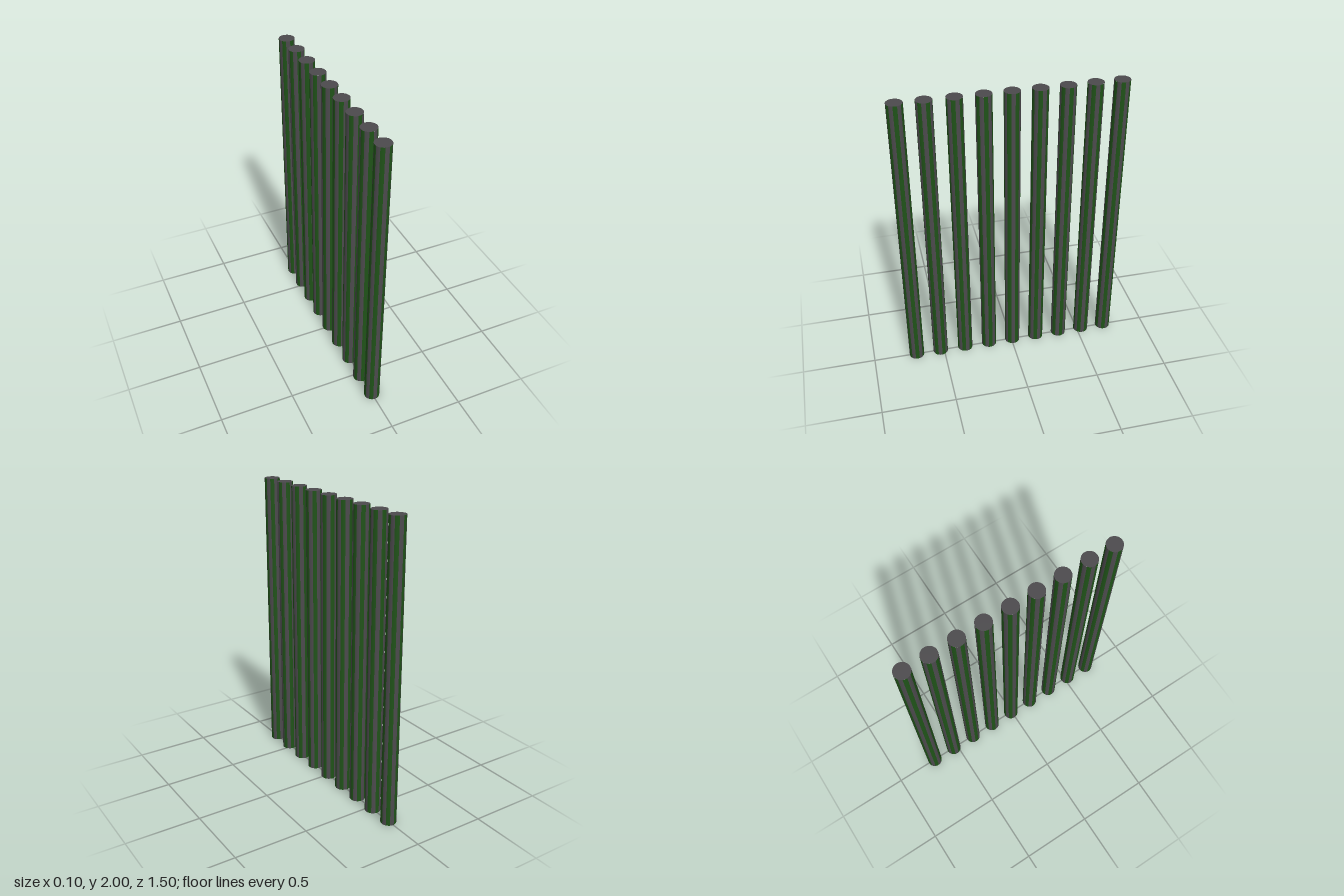
import * as THREE from 'three';
import { mergeGeometries } from 'three/addons/utils/BufferGeometryUtils.js';

const RADIUS = 0.052, HEIGHT = 2, STRIPS = 12;

// Every second strip of the round side, as one geometry
function sideStrips(first) {
  const step = (Math.PI * 2) / STRIPS;
  const strips = [];
  for (let i = first; i < STRIPS; i += 2) {
    strips.push(new THREE.CylinderGeometry(RADIUS, RADIUS, HEIGHT, 3, 1, true, (i - 0.5) * step, step));
  }
  return mergeGeometries(strips);
}

// Round end, facing up or down
function endCap(sign) {
  const cap = new THREE.CircleGeometry(RADIUS, 36);
  cap.rotateX(-sign * Math.PI / 2);
  cap.translate(0, sign * HEIGHT / 2, 0);
  return cap;
}

export function createModel() {
  const model = new THREE.Group();
  model.name = 'barRow';

  const grey = new THREE.MeshStandardMaterial({ color: 0x4c4a4d });
  const green = new THREE.MeshStandardMaterial({ color: 0x1f5218 });
  const greyShape = mergeGeometries([sideStrips(0), endCap(1), endCap(-1)]);
  const greenShape = sideStrips(1);

  // Bar centres from back to front, slightly uneven
  const centres = [-0.7, -0.53, -0.356, -0.182, -0.007, 0.167, 0.344, 0.525, 0.698];
  centres.forEach((z, i) => {
    const bar = new THREE.Group();
    bar.name = `bar${i + 1}`;
    const body = new THREE.Mesh(greyShape, grey);
    body.name = 'greyBody';
    const stripes = new THREE.Mesh(greenShape, green);
    stripes.name = 'greenStripes';
    bar.add(body, stripes);
    bar.position.set(0, HEIGHT / 2, z);
    // Each bar is turned a little differently, so the stripes vary
    bar.rotation.y = (centres.length - 1 - i) * 0.37;
    model.add(bar);
  });
  return model;
}
